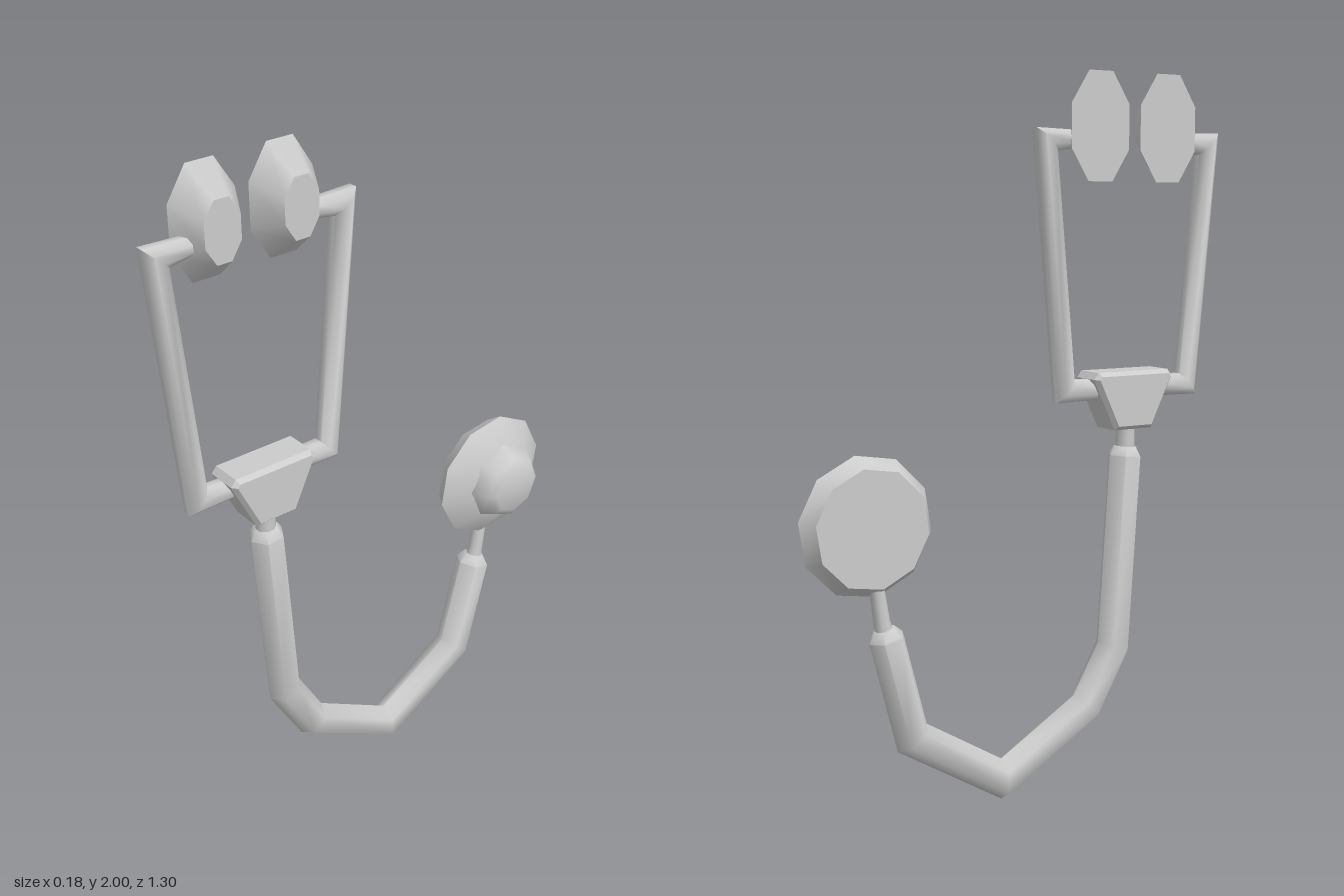
import * as THREE from 'three';
import { toCreasedNormals } from 'three/addons/utils/BufferGeometryUtils.js';

const MID_X = -0.038; // plane in which the tubing lies
const MID_Z = 0.347;  // symmetry line of the headset

const material = new THREE.MeshStandardMaterial({ color: 0xcccccc });

function part(name, geometry, x = 0, y = 0, z = 0) {
  const mesh = new THREE.Mesh(geometry, material);
  mesh.name = name;
  mesh.position.set(x, y, z);
  return mesh;
}

// Mitred, capped tube along [z, y, radius] points in the YZ plane
function sweep(points, sides, phase = 0) {
  const pos = [], index = [];
  const last = points.length - 1;
  const direction = (i) => new THREE.Vector2(
    points[i + 1][0] - points[i][0], points[i + 1][1] - points[i][1]).normalize();
  points.forEach(([z, y, r], i) => {
    const before = direction(Math.max(i - 1, 0));
    const after = direction(Math.min(i, last - 1));
    const t = before.clone().add(after).normalize();
    const mitre = 1 / t.dot(after);
    for (let j = 0; j < sides; j++) {
      const a = phase + (j / sides) * Math.PI * 2;
      const n = Math.cos(a) * r * mitre;
      pos.push(MID_X + Math.sin(a) * r, y - t.x * n, z + t.y * n);
    }
  });
  const start = pos.length / 3;
  pos.push(MID_X, points[0][1], points[0][0], MID_X, points[last][1], points[last][0]);
  for (let j = 0; j < sides; j++) {
    const k = (j + 1) % sides;
    for (let i = 0; i < last; i++) {
      const a = i * sides + j, b = i * sides + k;
      index.push(a, b, b + sides, a, b + sides, a + sides);
    }
    index.push(start, k, j, start + 1, last * sides + j, last * sides + k);
  }
  const g = new THREE.BufferGeometry();
  g.setAttribute('position', new THREE.Float32BufferAttribute(pos, 3));
  g.setIndex(index);
  return toCreasedNormals(g, 1.1);
}

// Turned part with its axis along x, from [radius, x] points
function turned(profile, sides, turn = 0) {
  const g = new THREE.LatheGeometry(
    profile.map(([r, x]) => new THREE.Vector2(r, x)), sides, turn);
  g.rotateZ(-Math.PI / 2);
  return toCreasedNormals(g, 0.9);
}

export function createModel() {
  const model = new THREE.Group();

  // Ear tubes and ear tips, mirrored about the headset's middle
  for (const [side, s] of [['front', 1], ['rear', -1]]) {
    const path = [[0.172, 1.818, 0.024], [0.188, 1.818, 0.027], [0.27, 1.816, 0.033],
      [0.207, 1.136, 0.033], [0.09, 1.136, 0.031]];
    model.add(part(side + 'EarTube',
      sweep(path.map(([z, y, r]) => [MID_Z + s * z, y, r]), 8, Math.PI / 8)));

    const k = 1 / Math.cos(Math.PI / 8);
    const tip = new THREE.CylinderGeometry(0.54 * k, k, 0.083, 8, 1, false, Math.PI / 8);
    tip.rotateZ(-Math.PI / 2).scale(1, 0.147, 0.093);
    model.add(part(side + 'EarTip', tip, -0.0285, 1.853, MID_Z + s * 0.112));
  }

  // Tapered joint block with chamfered edges
  const outline = new THREE.Shape([[-0.055, 1.032], [0.055, 1.032], [0.119, 1.165],
    [0.112, 1.174], [-0.112, 1.174], [-0.119, 1.165]].map((p) => new THREE.Vector2(...p)));
  const block = new THREE.ExtrudeGeometry(outline, {
    depth: 0.086, bevelEnabled: true, bevelSegments: 1, bevelSize: 0.011, bevelThickness: 0.013,
  });
  block.translate(0, 0, -0.043).rotateY(Math.PI / 2);
  model.add(part('jointBlock', block, -0.033, 0, MID_Z));

  // Necks joining the hose to the block and to the chest piece
  model.add(part('upperNeck', sweep([[MID_Z, 1.05, 0.028], [MID_Z, 0.94, 0.028]], 8, Math.PI / 8)));
  model.add(part('lowerNeck', sweep([[-0.41, 0.51, 0.027], [-0.422, 0.56, 0.022], [-0.44, 0.68, 0.02]], 8, Math.PI / 8)));

  // Six-sided hose with tapered ends
  model.add(part('hose', sweep([[0.348, 0.968, 0.034], [0.346, 0.942, 0.05], [0.31, 0.39, 0.05],
    [0.217, 0.225, 0.05], [-0.06, 0.059, 0.05], [-0.336, 0.228, 0.05],
    [-0.41, 0.515, 0.05], [-0.416, 0.54, 0.03]], 6)));

  // Chest piece: wide disc and small bell
  model.add(part('chestDisc', turned([[0, -0.07], [0.162, -0.07], [0.192, -0.024],
    [0.115, 0.03], [0, 0.03]], 10, Math.PI / 20), 0, 0.815, -0.456));
  model.add(part('chestBell', turned([[0, 0.0], [0.12, 0.0], [0.119, 0.03], [0.095, 0.073],
    [0.075, 0.086], [0, 0.088]], 8), 0, 0.82, -0.457));

  return model;
}
